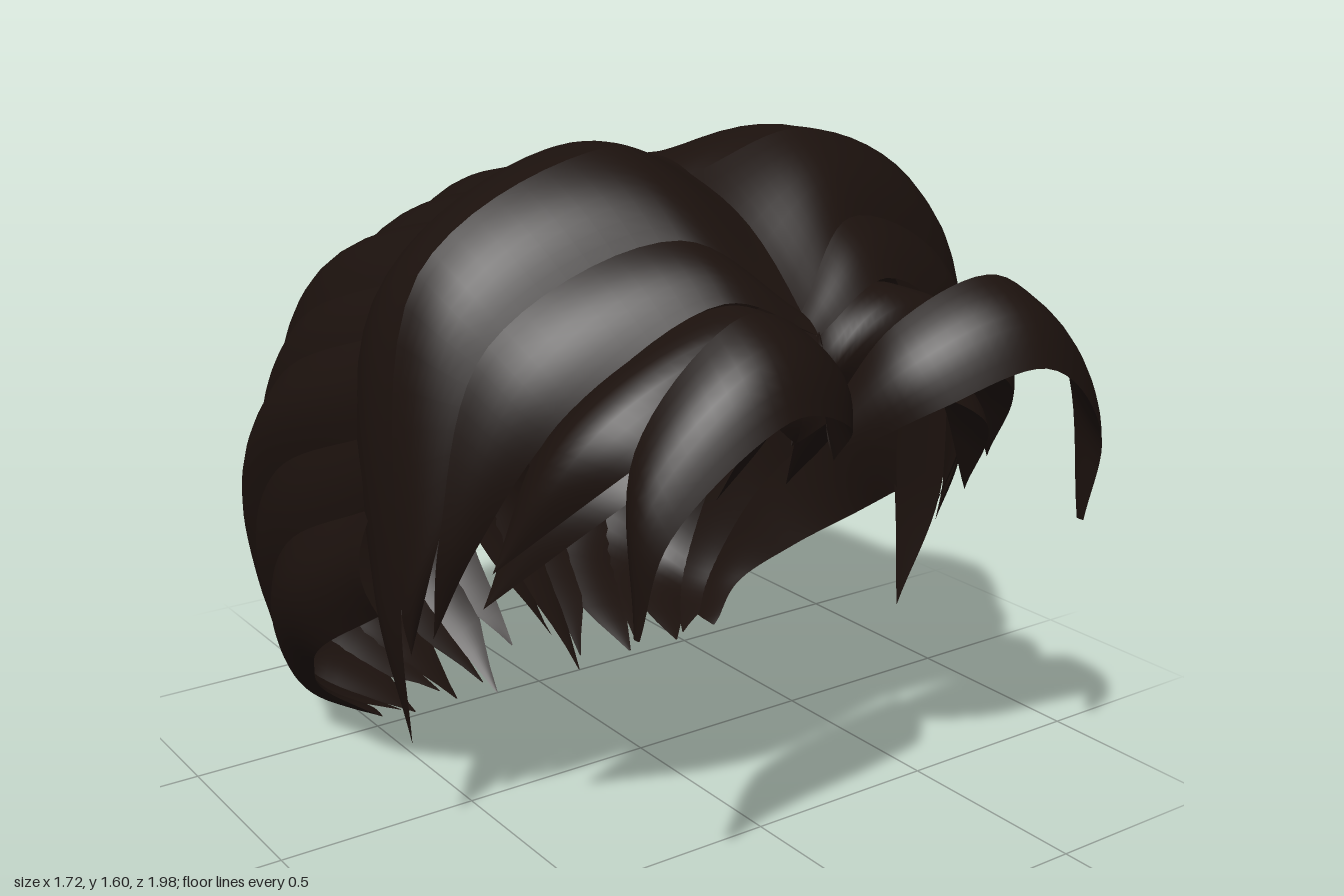
import * as THREE from 'three';

const hair = new THREE.MeshStandardMaterial({ color: 0x1b110d, side: THREE.DoubleSide });
const curve = (points) => new THREE.CatmullRomCurve3(points, false, 'centripetal');
const path = (...points) => points.map((p) => new THREE.Vector3(...p));
const shifted = (points, offset) => points.map((p) => p.clone().add(offset));

// A lock is a lens-shaped ribbon between two edge curves: a domed outer sheet and a flatter inner one.
function lock(name, edgeA, edgeB, dome, side) {
  const steps = 36, across = 8;
  const a = curve(edgeA), b = curve(edgeB);
  const pos = [], index = [];
  for (const k of [dome, -dome * 0.25]) {
    const base = pos.length / 3;
    for (let i = 0; i <= steps; i++) {
      const t = i / steps;
      const p = a.getPoint(t), q = b.getPoint(t);
      const width = q.clone().sub(p);
      const tangent = a.getTangent(t).add(b.getTangent(t));
      const n = width.clone().cross(tangent).normalize().multiplyScalar(width.length() * k);
      for (let j = 0; j <= across; j++) {
        const u = j / across;
        const v = p.clone().lerp(q, u).addScaledVector(n, Math.sin(Math.PI * u));
        pos.push(v.x * side, v.y, v.z);
      }
    }
    const flip = (k < 0) !== (side < 0);
    for (let i = 0; i < steps; i++) {
      for (let j = 0; j < across; j++) {
        const m = base + i * (across + 1) + j, r = m + across + 1;
        if (flip) index.push(m, r, m + 1, m + 1, r, r + 1);
        else index.push(m, m + 1, r, m + 1, r + 1, r);
      }
    }
  }
  const g = new THREE.BufferGeometry();
  g.setAttribute('position', new THREE.Float32BufferAttribute(pos, 3));
  g.setIndex(index);
  g.computeVertexNormals();
  const mesh = new THREE.Mesh(g, hair);
  mesh.name = name;
  return mesh;
}

// Guide strands of the back, crown to nape, from the centre seam round to the lowest side strand.
const guides = [
  path([0, 1.55, 0.02], [0, 1.42, -0.46], [0, 0.98, -0.83], [0, 0.42, -0.9], [0.06, 0.12, -0.5]),
  path([0.28, 1.51, 0.02], [0.3, 1.38, -0.49], [0.29, 0.98, -0.87], [0.23, 0.4, -0.94], [0.14, 0.02, -0.5]),
  path([0.58, 1.36, 0.05], [0.66, 1.17, -0.46], [0.58, 0.82, -0.8], [0.46, 0.3, -0.87], [0.29, 0.06, -0.46]),
  path([0.75, 1.05, 0.1], [0.79, 0.84, -0.38], [0.74, 0.52, -0.65], [0.62, 0.16, -0.68], [0.43, 0.07, -0.43]),
  path([0.77, 0.6, 0.09], [0.81, 0.46, -0.13], [0.75, 0.32, -0.32], [0.66, 0.18, -0.46], [0.54, 0.1, -0.4]),
].map(curve);

function backPoint(a, t) {
  return curve(guides.map((g) => g.getPoint(t))).getPoint(THREE.MathUtils.clamp(a, 0, 1));
}

function backLocks(side) {
  const group = new THREE.Group();
  group.name = 'backLocks';
  const count = 8, samples = 24;
  for (let i = 0; i < count; i++) {
    const mid = (i + 0.5) / count;
    const half = (i % 2 ? 0.68 : 0.54) / count;
    const end = i % 2 ? 1 : 0.98;
    const edgeA = [], edgeB = [];
    for (let s = 0; s <= samples; s++) {
      const t = s / samples;
      // full width to the nape, then a short tip swept towards the side of the lock
      const w = half * Math.min(1, 0.05 + (1 - t) * 11);
      const lean = (half - w) * (i % 2 ? 0.6 : -0.6);
      edgeA.push(backPoint(mid + lean - w, t * end));
      edgeB.push(backPoint(mid + lean + w, t * end));
    }
    group.add(lock('backLock', edgeA, edgeB, i % 2 ? 0.18 : 0.1, side));
  }
  return group;
}

// Locks swept from the parting down to the temples; neighbours share an edge.
function sweptLocks(side) {
  const group = new THREE.Group();
  group.name = 'sweptLocks';
  const edges = [
    path([0, 1.55, 0], [0.3, 1.54, -0.06], [0.7, 1.28, -0.02], [0.77, 0.66, 0.07]),
    path([0, 1.53, 0.2], [0.27, 1.62, 0.26], [0.71, 1.39, 0.22], [0.79, 0.68, 0.24]),
    path([0, 1.29, 0.6], [0.23, 1.45, 0.48], [0.64, 1.26, 0.38], [0.75, 0.86, 0.35]),
    path([0, 1.25, 0.66], [0.22, 1.34, 0.62], [0.56, 1.12, 0.53], [0.69, 0.84, 0.4]),
  ];
  const tips = path([0.73, 0.3, 0.15], [0.77, 0.56, 0.24], [0.73, 0.6, 0.27]);
  ['crownSweep', 'templeSweep', 'browSweep'].forEach((name, i) => {
    group.add(lock(name, [...edges[i], tips[i]], [...edges[i + 1], tips[i]], 0.08, side));
  });
  return group;
}

function fringe(side) {
  const group = new THREE.Group();
  group.name = 'fringe';
  // two stacked fringe locks, the lower one set further back
  const upper = path([0, 1.25, 0.65], [0.21, 1.33, 0.6], [0.56, 1.11, 0.5], [0.7, 0.81, 0.48]);
  const lower = path([0, 1.09, 0.65], [0.2, 1.2, 0.73], [0.49, 1.09, 0.74], [0.7, 0.81, 0.48]);
  const back = new THREE.Vector3(-0.01, -0.1, -0.06);
  group.add(lock('upperFringe', upper, lower, 0.25, side));
  group.add(lock('lowerFringe', shifted(upper, back), shifted(lower, back), 0.15, side));

  // short point hanging beside the parting
  const outer = path([0, 1.2, 0.68], [0.12, 1.03, 0.6], [0.1, 0.84, 0.44]);
  const inner = path([0, 1.26, 0.66], [0.03, 1.05, 0.57], [0.1, 0.84, 0.44]);
  group.add(lock('partingTip', outer, inner, 0.12, side));

  // free curl arching out in front
  const curlBack = path([0, 1.08, 0.69], [0.11, 1.28, 0.77], [0.34, 1.37, 0.83], [0.58, 1.14, 0.82], [0.61, 0.78, 0.86]);
  const curlFront = path([0, 0.99, 0.72], [0.12, 1.13, 0.91], [0.34, 1.2, 0.99], [0.58, 1.0, 0.94], [0.61, 0.78, 0.88]);
  group.add(lock('fringeCurl', curlBack, curlFront, 0.14, side));
  return group;
}

export function createModel() {
  const model = new THREE.Group();
  model.name = 'hair';
  for (const side of [1, -1]) {
    const half = new THREE.Group();
    half.name = side > 0 ? 'leftHalf' : 'rightHalf';
    half.add(backLocks(side), sweptLocks(side), fringe(side));
    model.add(half);
  }
  return model;
}
